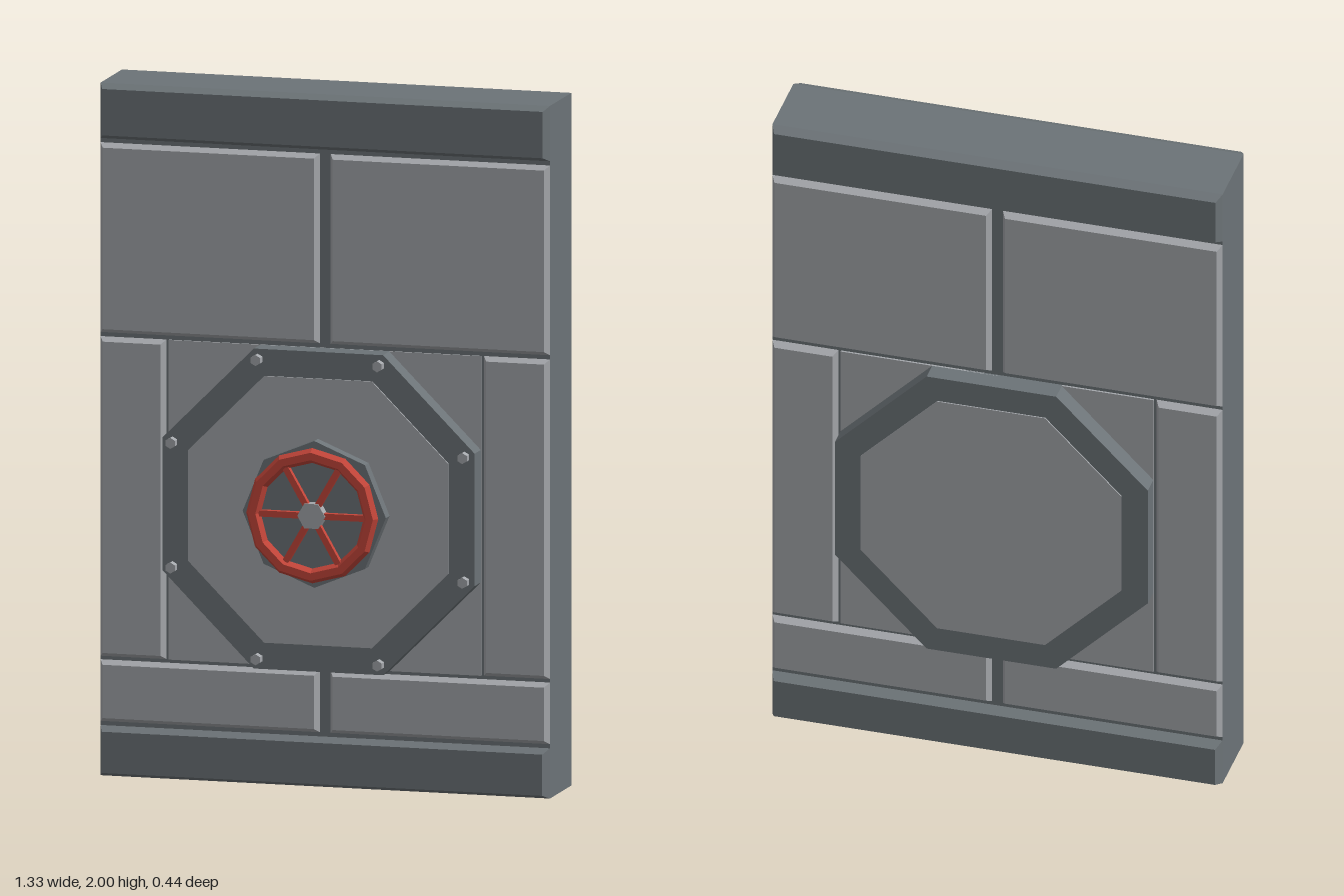
import * as THREE from 'three';

const mat = (name, color) => {
  const m = new THREE.MeshStandardMaterial({ color, flatShading: true });
  m.name = name;
  return m;
};

export function createModel() {
  const dark = mat('dark steel', 0x6c7377);
  const light = mat('light steel', 0xa4a7ab);
  const red = mat('red paint', 0xc5463a);

  const root = new THREE.Group();
  root.name = 'vaultDoor';
  const midZ = -0.0415, coreHalf = 0.1085, cy = 0.806;

  const add = (name, geo, material, x, y, z, parent = root) => {
    const m = new THREE.Mesh(geo, material);
    m.name = name;
    m.position.set(x, y, z);
    parent.add(m);
    return m;
  };

  // Prism with its axis along z
  const prism = (r, depth, sides, start = 0) =>
    new THREE.CylinderGeometry(r, r, depth, sides, 1, false, start).rotateX(Math.PI / 2);

  // Plate whose outer face is inset, giving sloped edges
  const bevelPlate = (w, h, d, inset) => {
    const g = new THREE.BoxGeometry(w, h, d);
    const p = g.attributes.position;
    for (let i = 0; i < p.count; i++) {
      if (p.getZ(i) > 0) {
        p.setX(i, p.getX(i) - Math.sign(p.getX(i)) * inset);
        p.setY(i, p.getY(i) - Math.sign(p.getY(i)) * inset);
      }
    }
    g.computeVertexNormals();
    return g;
  };

  // Core slab
  add('core', new THREE.BoxGeometry(1.33, 2, coreHalf * 2), dark, 0, 1, midZ);

  // Raised plates, repeated on the front and back: name, x0, x1, y0, y1, depth, inset, material
  const plates = [
    ['bottomRail', -0.665, 0.665, 0, 0.145, 0.034, 0.013, dark],
    ['topRail', -0.665, 0.665, 1.84, 2, 0.029, 0.013, dark],
    ['middlePlate', -0.462, 0.462, 0.345, 1.268, 0.006, 0, light],
  ];
  for (const s of [-1, 1]) {
    const span = (a, b) => (s > 0 ? [a, b] : [-b, -a]);
    plates.push(['upperPanel', ...span(0.016, 0.665), 1.28, 1.828, 0.021, 0.012, light]);
    plates.push(['sidePanel', ...span(0.47, 0.665), 0.345, 1.268, 0.021, 0.012, light]);
    plates.push(['lowerPanel', ...span(0.016, 0.665), 0.157, 0.335, 0.021, 0.012, light]);
  }
  for (const side of [1, -1]) {
    const face = new THREE.Group();
    face.name = side > 0 ? 'frontFace' : 'backFace';
    face.position.z = midZ;
    if (side < 0) face.rotation.y = Math.PI;
    root.add(face);
    for (const [name, x0, x1, y0, y1, d, inset, m] of plates) {
      add(name, bevelPlate(x1 - x0, y1 - y0, d, inset), m,
        (x0 + x1) / 2, (y0 + y1) / 2, coreHalf + d / 2, face);
    }
  }

  // Octagonal hatch through the slab, with a light plate on both faces
  const k = Math.cos(Math.PI / 8);
  add('hatchRim', prism(0.462 / k, 0.35, 8, Math.PI / 8), dark, 0, cy, -0.039);
  add('hatchPlate', prism(0.385 / k, 0.359, 8, Math.PI / 8), light, 0, cy, -0.0382);

  // Rim bolts, front only
  const bolt = prism(0.016, 0.04, 6);
  for (const sx of [-1, 1]) for (const sy of [-1, 1]) {
    for (const [x, y] of [[0.18, 0.432], [0.432, 0.18]]) {
      add('rimBolt', bolt, light, sx * x, cy + sy * y, 0.14);
    }
  }

  // Valve with hand wheel
  const valve = new THREE.Group();
  valve.name = 'valve';
  valve.position.y = cy;
  root.add(valve);
  add('valveBase', prism(0.212, 0.044, 8), dark, 0, 0, 0.157, valve);
  add('wheelRim', new THREE.TorusGeometry(0.174, 0.0215, 6, 12), red, 0, 0, 0.199, valve);
  add('wheelHub', prism(0.041, 0.034, 6, Math.PI / 2), light, 0, 0, 0.194, valve);
  for (let i = 0; i < 6; i++) {
    const a = i * Math.PI / 3;
    const spoke = add('wheelSpoke', new THREE.BoxGeometry(0.135, 0.018, 0.018), red,
      Math.cos(a) * 0.097, Math.sin(a) * 0.097, 0.198, valve);
    spoke.rotation.z = a;
  }
  return root;
}
